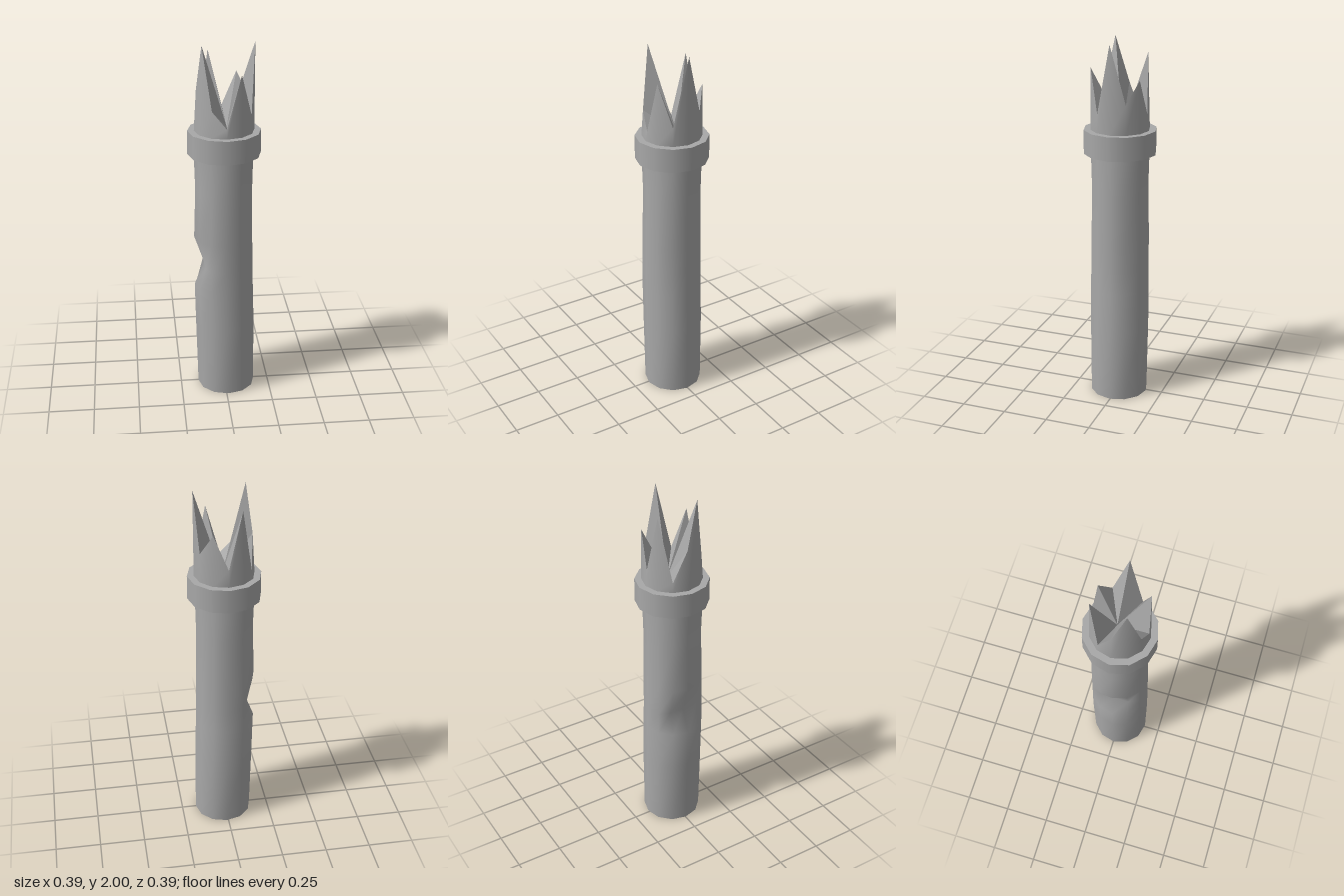
import * as THREE from 'three';

const SIDES = 12;

// point on a ring: angle step k, radius r, height y, ring centre (cx, cz)
function ringPoint(k, r, y, cx = 0, cz = 0) {
  const a = (k / SIDES) * Math.PI * 2;
  return [cx + r * Math.cos(a), y, cz + r * Math.sin(a)];
}

// smooth wall joining closed rings from bottom to top
function loft(rings) {
  const index = [];
  for (let i = 0; i < rings.length - 1; i++) {
    for (let k = 0; k < SIDES; k++) {
      const a = i * SIDES + k;
      const b = i * SIDES + ((k + 1) % SIDES);
      index.push(a, a + SIDES, b, a + SIDES, b + SIDES, b);
    }
  }
  const geometry = new THREE.BufferGeometry();
  geometry.setAttribute('position', new THREE.Float32BufferAttribute(rings.flat(2), 3));
  geometry.setIndex(index);
  geometry.computeVertexNormals();
  return geometry;
}

// flat facets from a ring to a centre point
function fan(ring, centre, facingUp) {
  const points = [];
  ring.forEach((p, k) => {
    const next = ring[(k + 1) % SIDES];
    points.push(centre, ...(facingUp ? [next, p] : [p, next]));
  });
  const geometry = new THREE.BufferGeometry();
  geometry.setAttribute('position', new THREE.Float32BufferAttribute(points.flat(), 3));
  geometry.computeVertexNormals();
  return geometry;
}

export function createModel() {
  const group = new THREE.Group();
  const stone = new THREE.MeshStandardMaterial({ color: 0xa8a8a8 });
  stone.name = 'grey stone';

  const add = (name, geometry) => {
    const mesh = new THREE.Mesh(geometry, stone);
    mesh.name = name;
    group.add(mesh);
  };

  // slightly wavering shaft: height, radius, centre x, centre z
  const sections = [
    [0, 0.16, 0.01, 0.002],
    [0.4, 0.164, 0.004, 0.001],
    [0.63, 0.163, -0.002, 0.002],
    [0.76, 0.161, -0.003, 0.002],
    [0.92, 0.16, -0.005, 0.001],
    [1.2, 0.154, -0.002, 0],
    [1.4, 0.159, -0.003, 0],
    [1.53, 0.16, 0, 0],
  ];
  const rings = sections.map(([y, r, cx, cz]) =>
    Array.from({ length: SIDES }, (_, k) => ringPoint(k, r, y, cx, cz)));

  // chipped notch on the right side
  rings[3].forEach((p) => { p[0] = Math.max(p[0], -0.11); });
  add('shaft', loft(rings.slice(0, 7)));
  add('shaftBase', fan(rings[0], [0.01, 0, 0.002], false));

  // square-edged collar
  const collar = new THREE.CylinderGeometry(0.196, 0.196, 0.13, SIDES);
  collar.translate(0, 1.465, 0);
  add('collar', collar);

  // jagged broken crown: height and radius of each rim point
  const rim = [
    [2.0, 0.16], [1.63, 0.156], [1.86, 0.155], [1.58, 0.15],
    [1.67, 0.15], [2.0, 0.14], [1.75, 0.147], [1.58, 0.151],
    [1.93, 0.148], [1.62, 0.15], [1.81, 0.155], [1.69, 0.159],
  ].map(([y, r], k) => ringPoint(k, r, y));
  add('brokenCrown', loft([rings[7], rim]));
  add('brokenInside', fan(rim, [0.015, 1.54, -0.018], true));

  return group;
}
